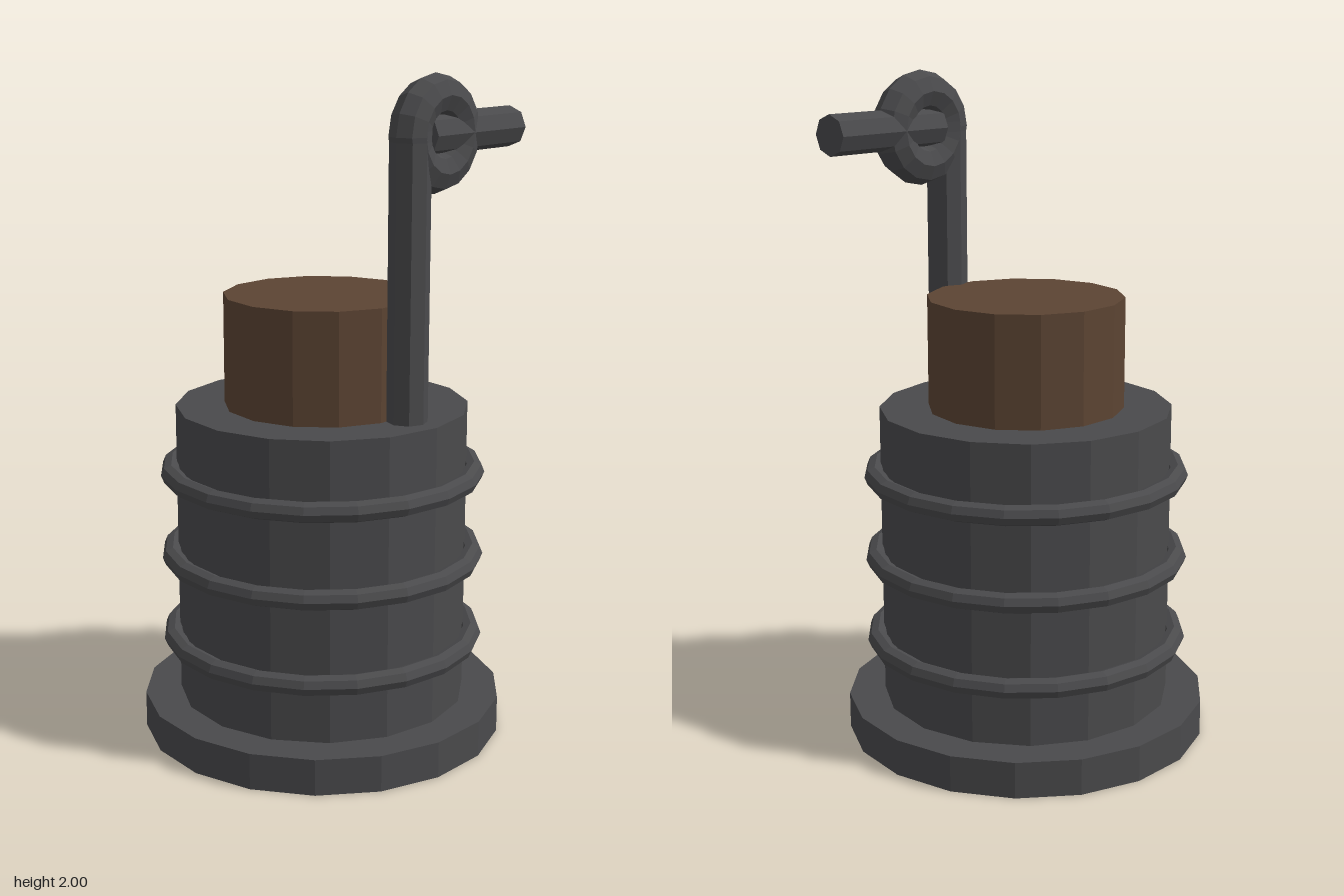
import * as THREE from 'three';

export function createModel() {
  const model = new THREE.Group();
  const metal = new THREE.MeshStandardMaterial({ color: 0x4a4a4c, flatShading: true });
  const wood = new THREE.MeshStandardMaterial({ color: 0x5c4433, flatShading: true });

  const add = (name, geometry, material, x, y, z) => {
    const mesh = new THREE.Mesh(geometry, material);
    mesh.name = name;
    mesh.position.set(x, y, z);
    model.add(mesh);
    return mesh;
  };

  // upright cylinder between two heights
  const column = (name, radius, y0, y1, sides, material, x = 0) =>
    add(name, new THREE.CylinderGeometry(radius, radius, y1 - y0, sides), material, x, (y0 + y1) / 2, 0);

  // stacked body
  column('base', 0.55, 0, 0.11, 18, metal);
  column('body', 0.44, 0.11, 1.015, 16, metal);
  column('plug', 0.295, 1.0, 1.35, 14, wood);

  // raised bands around the body
  for (let i = 0; i < 3; i++) {
    const band = new THREE.TorusGeometry(0.46, 0.031, 8, 20).rotateX(Math.PI / 2);
    add('band', band, metal, 0, 0.297 + i * 0.259, 0);
  }

  // side post with a ring at its top
  const armX = 0.33;
  column('post', 0.06, 0.95, 1.845, 8, metal, armX);
  const ring = new THREE.TorusGeometry(0.11, 0.06, 8, 16).rotateY(Math.PI / 2);
  add('postRing', ring, metal, armX, 1.83, -0.107);

  // pin reaching back through the ring
  const pin = new THREE.CylinderGeometry(0.06, 0.06, 0.41, 8).rotateX(Math.PI / 2);
  add('pin', pin, metal, armX, 1.83, -0.255);

  return model;
}
